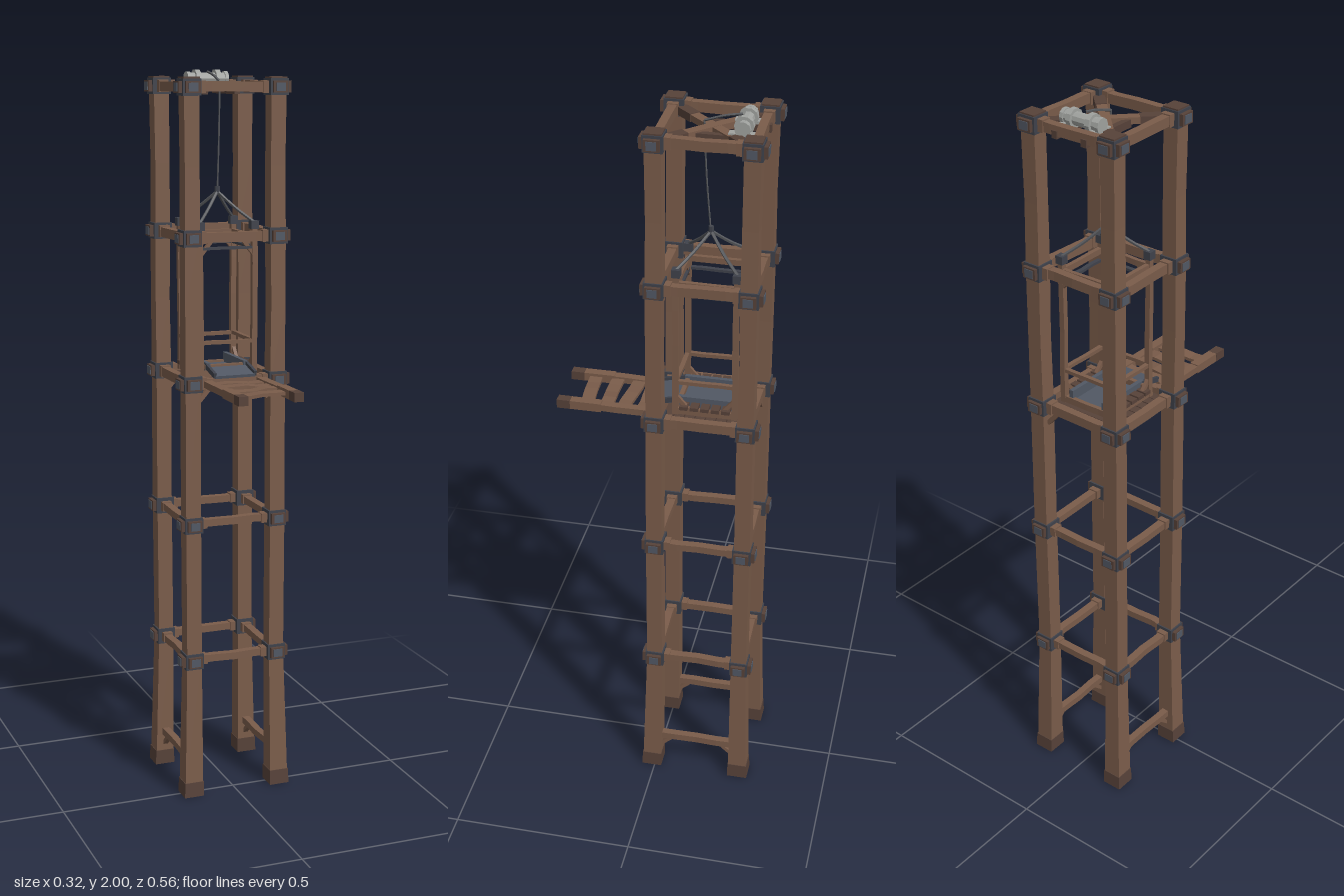
import * as THREE from 'three';

const mat = (name, color) => {
  const m = new THREE.MeshStandardMaterial({ color, flatShading: true });
  m.name = name;
  return m;
};

export function createModel() {
  const wood = mat('wood', 0x7a5c4a), darkWood = mat('darkWood', 0x574239);
  const iron = mat('iron', 0x3f424b), slate = mat('slate', 0x515864);
  const steel = mat('steel', 0xa0a29f), rope = mat('rope', 0x55575b);
  const model = new THREE.Group();
  model.name = 'hoistTower';

  let seed = 7;
  const rand = () => (seed = (seed * 16807) % 2147483647) / 2147483647 - 0.5;
  const V = (x, y, z) => new THREE.Vector3(x, y, z);

  const add = (name, geo, material, parent = model) => {
    const m = new THREE.Mesh(geo, material);
    m.name = name;
    parent.add(m);
    return m;
  };
  const box = (name, w, h, d, x, y, z, material, parent) => {
    const m = add(name, new THREE.BoxGeometry(w, h, d), material, parent);
    m.position.set(x, y, z);
    return m;
  };
  // Timber between two points, slightly uneven along its length
  const beam = (name, a, b, w, h, material = wood, wobble = 0, parent = model) => {
    const g = new THREE.BoxGeometry(w, h, a.distanceTo(b), 1, 1, 4);
    const shift = [0, 1, 2, 3, 4].map(i => (i % 4 ? [rand() * wobble, rand() * wobble] : [0, 0]));
    const p = g.attributes.position, len = a.distanceTo(b);
    for (let i = 0; i < p.count; i++) {
      const s = shift[Math.round((p.getZ(i) / len + 0.5) * 4)];
      p.setXY(i, p.getX(i) + s[0], p.getY(i) + s[1]);
    }
    const m = add(name, g, material, parent);
    m.position.copy(a).lerp(b, 0.5);
    m.lookAt(b);
    return m;
  };
  const cord = (name, points, r, parent) =>
    add(name, new THREE.TubeGeometry(new THREE.CatmullRomCurve3(points), 8, r, 5), rope, parent);

  const X = 0.122, ZF = 0.002, ZB = -0.24, ZM = (ZF + ZB) / 2;
  const levels = [0.395, 0.785, 1.175, 1.565, 1.955];

  // Square column through cross-sections [y, halfWidth, outward offset]
  const column = (name, rows, sx, sz, material) => {
    const pos = [], idx = [];
    rows.forEach(([y, h, o]) => {
      for (const [cx, cz] of [[-1, -1], [-1, 1], [1, 1], [1, -1]]) {
        pos.push(sx * (X + o) + cx * h, y, (sz > 0 ? ZF : ZB) + sz * o + cz * h);
      }
    });
    for (let r = 0; r < rows.length - 1; r++) for (let k = 0; k < 4; k++) {
      const a = r * 4 + k, b = r * 4 + (k + 1) % 4;
      idx.push(a, b, b + 4, a, b + 4, a + 4);
    }
    const t = (rows.length - 1) * 4;
    idx.push(0, 2, 1, 0, 3, 2, t, t + 1, t + 2, t, t + 2, t + 3);
    const g = new THREE.BufferGeometry();
    g.setAttribute('position', new THREE.Float32BufferAttribute(pos, 3));
    g.setIndex(idx);
    const flat = g.toNonIndexed();
    flat.computeVertexNormals();
    add(name, flat, material);
  };

  // Corner posts, feet, collars and pegged beam ends
  for (const sx of [-1, 1]) for (const sz of [-1, 1]) {
    const z = sz > 0 ? ZF : ZB;
    column('post', [[0.03, 0.026, 0.006], [0.4, 0.0215, 0], [0.8, 0.0215, 0.001], [1.18, 0.0215, 0],
      [1.38, 0.0205, 0.001], [1.57, 0.0215, 0], [1.75, 0.0205, -0.001], [1.96, 0.0215, 0]], sx, sz, wood);
    column('foot', [[0, 0.0285, 0.007], [0.042, 0.0275, 0.006]], sx, sz, darkWood);
    for (const y of levels) {
      box('collar', 0.051, 0.044, 0.051, sx * X, y, z, iron);
      box('beamEndX', 0.016, 0.03, 0.04, sx * 0.15, y, z, darkWood);
      box('beamEndZ', 0.04, 0.03, 0.016, sx * X, y, z + sz * 0.027, darkWood);
      box('collarPlateX', 0.006, 0.022, 0.026, sx * 0.157, y, z, slate);
      box('collarPlateZ', 0.026, 0.022, 0.006, sx * X, y, z + sz * 0.034, slate);
    }
    box('postCap', 0.045, 0.008, 0.045, sx * X, 1.977, z, darkWood);
  }

  // Horizontal frames
  levels.forEach((y, i) => {
    const h = i > 1 ? 0.026 : 0.02;
    for (const z of [ZF, ZB]) {
      beam('crossBeam', V(-X, y, z), V(X, y, z), 0.022, h, wood, 0.004);
      for (const s of [-1, 1]) box('beamSleeve', 0.02, h + 0.006, 0.028, s * 0.09, y, z, wood);
    }
    for (const s of [-1, 1]) {
      beam('sideBeam', V(s * X, y, ZF), V(s * X, y, ZB), 0.022, h, wood, 0.004);
      for (const z of [ZF - 0.032, ZB + 0.032]) box('beamSleeve', 0.028, h + 0.006, 0.02, s * X, y, z, wood);
    }
  });

  // Low side braces with knees, and knees below the landing
  for (const s of [-1, 1]) {
    beam('footBrace', V(s * 0.126, 0.1, ZF), V(s * 0.126, 0.1, ZB), 0.02, 0.02, wood, 0.004);
    for (const [z, d] of [[ZF, -1], [ZB, 1]]) {
      beam('footKnee', V(s * 0.126, 0.06, z + d * 0.012), V(s * 0.126, 0.098, z + d * 0.055), 0.014, 0.01);
      beam('landingKnee', V(s * 0.1, 1.125, z), V(s * 0.062, 1.168, z), 0.014, 0.012);
    }
  }

  // Landing floor
  for (let i = 0; i < 8; i++) {
    box('floorPlank', 0.224, 0.012, 0.0255, 0, 1.165 + rand() * 0.002, -0.222 + i * 0.0283, darkWood);
  }

  // Gangway: two rails and bowed treads
  for (const s of [-1, 1]) {
    beam('gangwayRail', V(s * 0.077, 1.174, -0.01), V(s * 0.077, 1.174, 0.255), 0.024, 0.018, wood, 0.003);
    box('railHead', 0.026, 0.024, 0.1, s * 0.077, 1.174, 0.208, wood);
    box('railTip', 0.0265, 0.0245, 0.036, s * 0.077, 1.174, 0.26, darkWood);
  }
  [0.048, 0.093, 0.146, 0.203].forEach((z, i) => {
    const tilt = [0, 0.006, 0, -0.005][i];
    beam('gangwayTread', V(-0.072, 1.174, z - tilt), V(0.072, 1.174, z + tilt), 0.035, 0.009, wood, 0.006);
  });

  // Roof cross with dark outer ends
  for (const s of [-1, 1]) {
    const a = V(-s * 0.115, 1.95, -0.005), b = V(s * 0.115, 1.95, -0.233);
    beam('roofBrace', a, b, 0.026, 0.017, wood, 0.002);
    for (const [p, q] of [[a, b], [b, a]]) {
      beam('roofBraceEnd', p, p.clone().lerp(q, 0.24), 0.029, 0.021, darkWood);
    }
  }

  // Winch drum on the roof
  const winch = new THREE.Group();
  winch.name = 'winch';
  winch.position.set(0, 1.974, -0.199);
  model.add(winch);
  const roller = (name, r, len, x) => {
    const m = add(name, new THREE.CylinderGeometry(r, r, len, 10), steel, winch);
    m.rotation.z = Math.PI / 2;
    m.position.x = x;
  };
  roller('winchDrum', 0.017, 0.11, 0);
  for (const s of [-1, 1]) {
    roller('drumFlange', 0.025, 0.014, s * 0.029);
    roller('drumEnd', 0.02, 0.01, s * 0.054);
    box('winchMount', 0.022, 0.008, 0.07, s * 0.045, -0.016, 0, steel, winch);
    box('winchSkid', 0.016, 0.02, 0.17, s * 0.045, -0.03, 0.03, darkWood, winch);
  }

  // Hoisting rope and its sling
  cord('hoistRopeTop', [V(0, 1.992, -0.19), V(0, 1.985, -0.15), V(0, 1.968, -0.095)], 0.0035);
  cord('hoistRope', [V(0, 1.968, -0.095), V(0, 1.82, -0.103), V(0, 1.68, -0.115)], 0.0025);
  const knot = add('slingRing', new THREE.CylinderGeometry(0.007, 0.007, 0.022, 6), iron);
  knot.position.set(0, 1.679, -0.116);

  // Lift cage
  const cage = new THREE.Group();
  cage.name = 'liftCage';
  model.add(cage);
  const CX = 0.078, CF = -0.043, CB = -0.2;
  for (const sx of [-1, 1]) for (const z of [CF, CB]) {
    const inX = sx * 0.045, inZ = z + (z === CF ? -0.035 : 0.035);
    beam('cagePost', V(sx * CX, 1.18, z), V(sx * CX, 1.59, z), 0.015, 0.015, wood, 0.003, cage);
    beam('cageKneeX', V(sx * CX, 1.51, z), V(inX, 1.55, z), 0.01, 0.01, wood, 0, cage);
    beam('cageKneeZ', V(sx * CX, 1.235, z), V(sx * CX, 1.195, inZ), 0.01, 0.01, wood, 0, cage);
    box('cageCap', 0.022, 0.022, 0.022, sx * CX, 1.59, z, iron, cage);
    cord('slingRope', [V(sx * CX, 1.597, z), V(sx * 0.04, 1.632, (z - 0.115) / 2), V(0, 1.676, -0.116)], 0.0045, cage);
  }
  const ring = (name, y, h, material) => {
    for (const z of [CF, CB]) beam(name, V(-CX, y, z), V(CX, y, z), 0.012, h, material, 0.002, cage);
    for (const s of [-1, 1]) beam(name, V(s * CX, y, CF), V(s * CX, y, CB), 0.012, h, material, 0.002, cage);
  };
  ring('cageTopRail', 1.558, 0.016, wood);
  ring('cageStrap', 1.53, 0.007, iron);
  ring('cageHandrail', 1.275, 0.01, wood);
  ring('cageSill', 1.19, 0.018, wood);

  // Cage floor and side slats
  box('cageFloor', 0.1, 0.012, 0.165, 0, 1.187, -0.122, slate, cage);
  for (const s of [-1, 1]) {
    for (let i = 0; i < 5; i++) {
      box('sideSlat', 0.03, 0.01, 0.022, s * 0.078, 1.203, -0.178 + i * 0.028, darkWood, cage);
    }
    box('floorCurb', 0.012, 0.03, 0.16, s * 0.054, 1.205, -0.122, slate, cage);
  }

  // Boarding ramp from cage to gangway
  beam('boardingRamp', V(0, 1.205, -0.048), V(0, 1.19, 0.02), 0.115, 0.008, slate, 0);
  for (const s of [-1, 1]) beam('rampEdge', V(s * 0.058, 1.212, -0.048), V(s * 0.058, 1.195, 0.02), 0.008, 0.014, iron);
  box('rampHinge', 0.13, 0.012, 0.012, 0, 1.208, -0.05, wood);

  return model;
}
